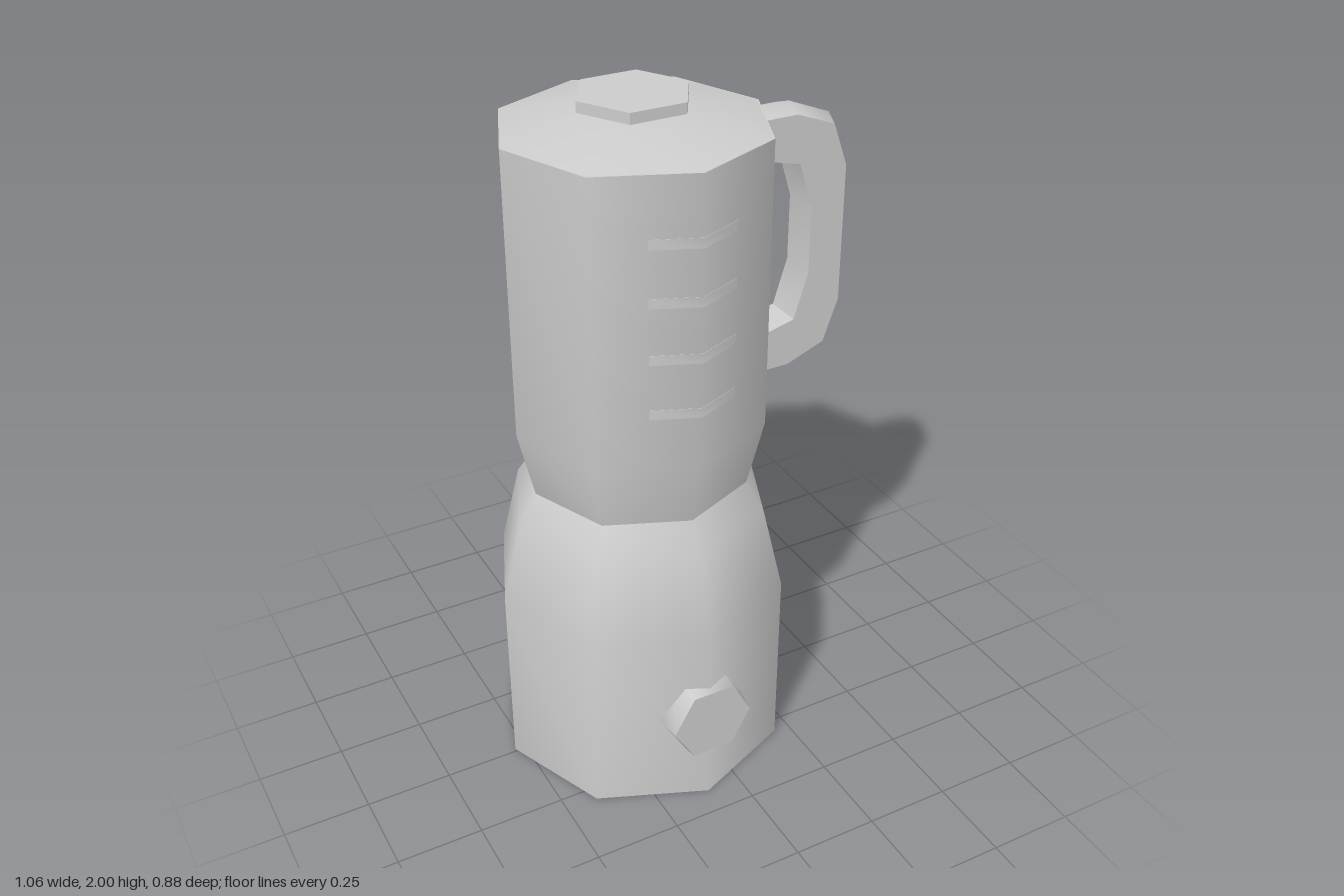
import * as THREE from 'three';
import { toCreasedNormals } from 'three/addons/utils/BufferGeometryUtils.js';

const CX = -0.102, CZ = -0.01; // axis of the body
const material = new THREE.MeshStandardMaterial({ color: 0xcccccc });

function part(name, geometry, crease = 0.9) {
  const mesh = new THREE.Mesh(toCreasedNormals(geometry, crease), material);
  mesh.name = name;
  return mesh;
}

// Eight-sided turned body, corners on the axes
function turned(name, profile) {
  const mesh = part(name, new THREE.LatheGeometry(profile.map(([r, y]) => new THREE.Vector2(r, y)), 8));
  mesh.position.set(CX, 0, CZ);
  return mesh;
}

// Hexagonal disc with corners on the x axis
function hexagon(top, bottom, height) {
  return new THREE.CylinderGeometry(top, bottom, height, 6).rotateY(Math.PI / 6);
}

// C-shaped handle: five-sided section with a ridge along its outer side
function handleGeometry() {
  const half = 0.055;
  // upper half: [inner x, inner y, edge x, edge y, ridge x, ridge y]
  const upper = [
    [0.18, 1.785, 0.18, 1.88, 0.18, 1.9],
    [0.36, 1.74, 0.345, 1.88, 0.35, 1.9],
    [0.402, 1.605, 0.462, 1.835, 0.478, 1.848],
    [0.402, 1.6, 0.507, 1.71, 0.532, 1.718],
  ];
  const mirrored = [...upper].reverse().map((s) => s.map((v, i) => (i % 2 ? 3.016 - v : v)));
  const sections = [...upper, ...mirrored];
  const positions = [], index = [];
  for (const [ix, iy, ex, ey, rx, ry] of sections) {
    positions.push(ix, iy, -half, ix, iy, half, ex, ey, half, rx, ry, 0, ex, ey, -half);
  }
  for (let s = 0; s < sections.length - 1; s++) {
    for (let k = 0; k < 5; k++) {
      const a = s * 5 + k, b = s * 5 + (k + 1) % 5;
      index.push(a, a + 5, b, b, a + 5, b + 5);
    }
  }
  // end caps inside the jar
  const e = (sections.length - 1) * 5;
  for (let k = 1; k < 4; k++) {
    index.push(0, k, k + 1, e, e + k + 1, e + k);
  }
  const geometry = new THREE.BufferGeometry();
  geometry.setAttribute('position', new THREE.Float32BufferAttribute(positions, 3));
  geometry.setIndex(index);
  return geometry;
}

// Thin measuring mark folded around the front corner of the jar
function markGeometry() {
  const w = 0.125, drop = w * Math.tan(Math.PI / 8), t = 0.012;
  const shape = new THREE.Shape();
  shape.moveTo(-w, drop);
  shape.lineTo(0, 0);
  shape.lineTo(w, drop);
  shape.lineTo(w, drop + t);
  shape.lineTo(0, t);
  shape.lineTo(-w, drop + t);
  return new THREE.ExtrudeGeometry(shape, { depth: 0.028, bevelEnabled: false })
    .translate(0, 0, -0.014)
    .rotateX(-Math.PI / 2);
}

export function createModel() {
  const model = new THREE.Group();
  model.name = 'blender';

  // Motor base, jar and lid
  model.add(turned('base', [[0, 0], [0.43, 0], [0.43, 0.565], [0.37, 0.81], [0.31, 0.9], [0, 0.9]]));
  model.add(turned('jar', [[0, 0.898], [0.318, 0.898], [0.365, 1.1], [0.365, 1.915], [0, 1.915]]));
  model.add(turned('lid', [[0, 1.914], [0.365, 1.914], [0.13, 1.97], [0, 1.97]]));

  // Lid cap
  const cap = part('lidCap', hexagon(0.158, 0.158, 0.03));
  cap.position.set(CX, 1.985, CZ);
  model.add(cap);

  // Control knob on the front of the base
  const knob = part('knob', hexagon(0.121, 0.138, 0.11).rotateX(Math.PI / 2), 1.1);
  knob.position.set(CX, 0.285, 0.385);
  model.add(knob);

  // Handle on the model's left
  model.add(part('handle', handleGeometry()));

  // Measuring marks up the front of the jar
  for (let i = 0; i < 4; i++) {
    const mark = part('measuringMark', markGeometry());
    mark.position.set(CX, 1.262 + i * 0.158, CZ + 0.366);
    model.add(mark);
  }
  return model;
}
